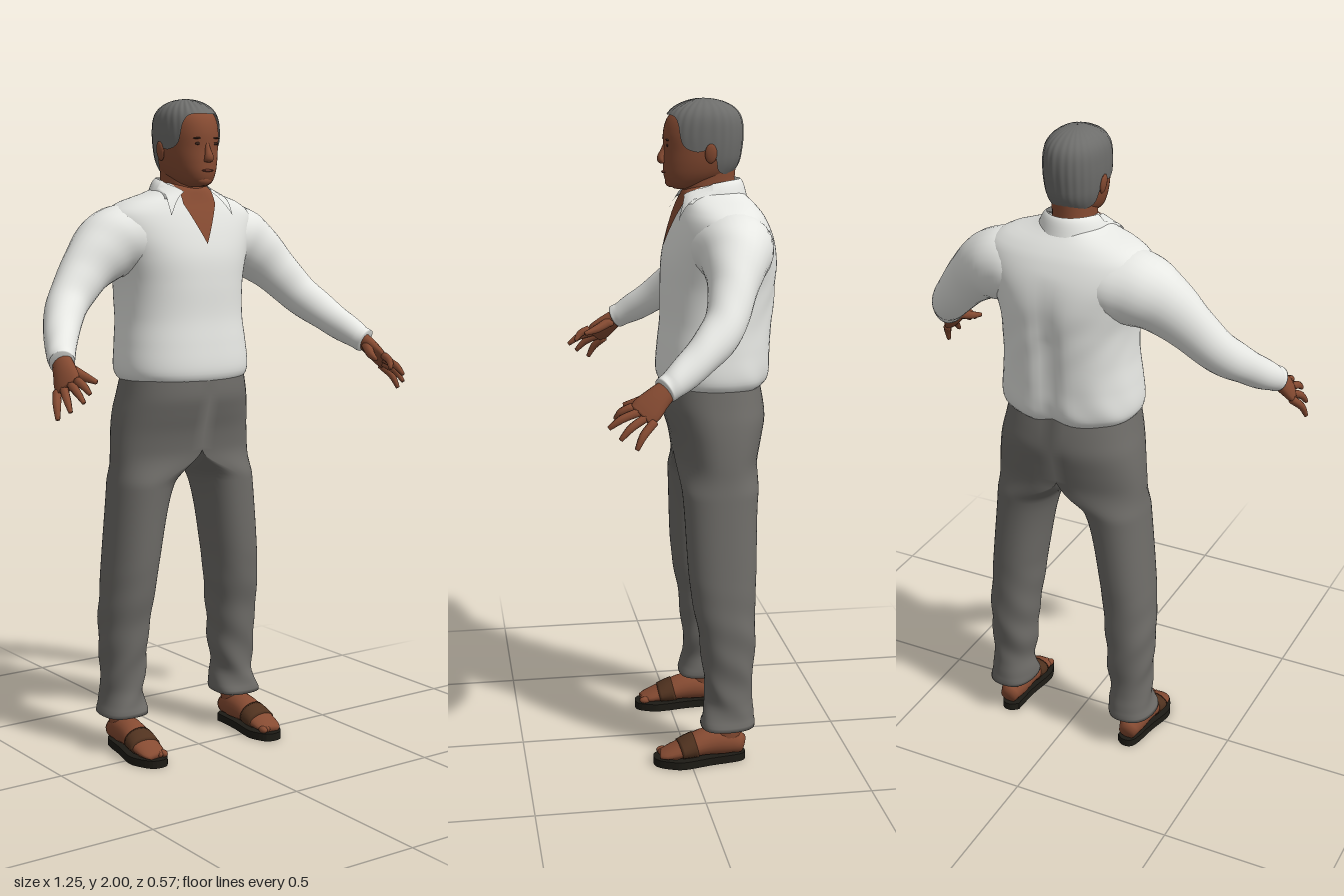
import * as THREE from 'three';
import { mergeVertices } from 'three/addons/utils/BufferGeometryUtils.js';

const V = (x, y, z) => new THREE.Vector3(x, y, z);
const { sin, cos, abs, sign, PI, pow, max, exp } = Math;

// Smooth surface from a rule giving a point for u, v in 0..1
function surface(fn, nu, nv) {
  const pos = [], idx = [];
  for (let j = 0; j <= nv; j++) for (let i = 0; i <= nu; i++) pos.push(...fn(i / nu, j / nv, j).toArray());
  for (let j = 0; j < nv; j++) for (let i = 0; i < nu; i++) {
    const a = j * (nu + 1) + i, b = a + nu + 1;
    idx.push(a, a + 1, b, a + 1, b + 1, b);
  }
  let g = new THREE.BufferGeometry();
  g.setAttribute('position', new THREE.Float32BufferAttribute(pos, 3));
  g.setIndex(idx);
  g = mergeVertices(g, 1e-5);
  g.computeVertexNormals();
  return g;
}

// Smooth interpolation of rows keyed by their first number
function lerpRows(rows, y) {
  const n = rows.length;
  let i = 0;
  while (i < n - 2 && y > rows[i + 1][0]) i++;
  const A = rows[i], B = rows[i + 1], P = rows[max(0, i - 1)], N = rows[Math.min(n - 1, i + 2)];
  const h = B[0] - A[0], t = THREE.MathUtils.clamp((y - A[0]) / h, 0, 1);
  return A.map((p, k) => {
    const m0 = (B[k] - P[k]) / (B[0] - P[0]) * h, m1 = (N[k] - p) / (N[0] - A[0]) * h;
    return (2 * t ** 3 - 3 * t * t + 1) * p + (t ** 3 - 2 * t * t + t) * m0 + (3 * t * t - 2 * t ** 3) * B[k] + (t ** 3 - t * t) * m1;
  });
}

// Body of horizontal superellipse sections: rows are [y, halfWidth, zFront, zBack, xCentre]
function body(rows, p = 2.2) {
  const at = (th, y) => {
    const [, a, f, b, cx = 0] = lerpRows(rows, y), s = sin(th), c = cos(th);
    return V(cx + max(a, 0) * sign(s) * pow(abs(s), 2 / p), y, (f + b) / 2 + (f - b) / 2 * sign(c) * pow(abs(c), 2 / p));
  };
  const front = (x, y) => {
    const [, a, f, b] = lerpRows(rows, y);
    return (f + b) / 2 + (f - b) / 2 * pow(max(0, 1 - pow(abs(x) / a, p)), 1 / p);
  };
  const y0 = rows[0][0], y1 = rows[rows.length - 1][0];
  const mesh = (nu, nv, bend = q => q) =>
    surface((u, v) => bend(at(u * 2 * PI, y0 + (y1 - y0) * v), u * 2 * PI), nu, nv);
  return { at, front, mesh };
}

// Closed limb along points [x, y, z, radiusAlongSide, radiusAcross]
function limb(pts, side, nu = 14, nv = 16, wrinkle = 0) {
  const curve = new THREE.CatmullRomCurve3(pts.map(p => V(...p)));
  const rows = pts.map((p, i) => [i / (pts.length - 1), p[3], p[4] ?? p[3]]);
  return surface((u, v, j) => {
    const t = THREE.MathUtils.clamp((j - 1) / (nv - 2), 0, 1);
    const T = curve.getTangent(t), n = side.clone().addScaledVector(T, -side.dot(T)).normalize();
    const b = T.clone().cross(n), [, ra, rb] = lerpRows(rows, t), f = u * 2 * PI;
    const k = j === 0 || j === nv ? 0 : 1 + wrinkle * t * sin(t * 42 + 2 * sin(f)) * sin(f + 5 * t);
    return curve.getPoint(t).addScaledVector(n, ra * k * cos(f)).addScaledVector(b, rb * k * sin(f));
  }, nu, nv);
}

function mirrored(g) {
  const m = g.clone().scale(-1, 1, 1), ix = m.index.array;
  for (let i = 0; i < ix.length; i += 3) [ix[i], ix[i + 1]] = [ix[i + 1], ix[i]];
  return m;
}

export function createModel() {
  const root = new THREE.Group();
  root.name = 'standingMan';
  const mat = (name, color, side = THREE.FrontSide) => {
    const m = new THREE.MeshStandardMaterial({ color, side });
    m.name = name;
    return m;
  };
  const shirt = mat('white shirt', 0xe7e8e4, THREE.DoubleSide), cloth = mat('grey trousers', 0x6e6c68, THREE.DoubleSide);
  const skin = mat('brown skin', 0x864b32), hair = mat('grey hair', 0x6d6d6b, THREE.DoubleSide);
  const leather = mat('dark leather', 0x50321f), rubber = mat('black sole', 0x1d1b15);
  const dark = mat('dark eye', 0x3a231a), lip = mat('lips', 0x6b382b);
  const add = (name, g, m) => {
    const o = new THREE.Mesh(g, m);
    o.name = name;
    root.add(o);
  };
  const pair = (name, g, m) => { add(name + 'Left', g, m); add(name + 'Right', mirrored(g), m); };
  const blob = (x, y, z, a, b, c, rz = 0) => new THREE.SphereGeometry(1, 14, 10).scale(a, b, c).rotateZ(rz).translate(x, y, z);

  // Shirt body with soft folds and a groove down the spine
  const torso = body([
    [1.15, 0.188, 0.05, -0.24], [1.168, 0.207, 0.064, -0.258], [1.2, 0.214, 0.069, -0.268], [1.27, 0.208, 0.064, -0.272],
    [1.35, 0.2, 0.056, -0.277], [1.45, 0.203, 0.055, -0.285], [1.53, 0.222, 0.05, -0.287], [1.6, 0.246, 0.033, -0.274],
    [1.66, 0.245, 0.012, -0.247], [1.695, 0.195, -0.003, -0.22], [1.715, 0.13, -0.01, -0.2], [1.735, 0.08, -0.018, -0.182],
    [1.75, 0.062, -0.035, -0.17]], 2.3);
  add('shirtBody', torso.mesh(72, 56, (p, th) => {
    const low = THREE.MathUtils.clamp((1.62 - p.y) * 5, 0, 1), back = max(0, -cos(th));
    const k = 1 + low * 0.009 * sin(9 * th + 5 * sin(p.y * 11)) * back;
    p.x *= k;
    p.z = -0.11 + (p.z + 0.11) * k + back * low * 0.016 * exp(-((p.x / 0.035) ** 2));
    return p;
  }), shirt);

  // Open neck
  add('openNeckSkin', surface((u, v) => {
    const y = 1.57 + 0.178 * v, x = (u * 2 - 1) * 0.058 * Math.min(1, v * 1.5);
    return V(x, y, torso.front(x, y) + 0.006);
  }, 14, 24), skin);
  add('neck', body([[1.66, 0.068, -0.015, -0.165], [1.72, 0.061, -0.012, -0.165], [1.76, 0.059, -0.01, -0.165],
    [1.82, 0.06, -0.01, -0.17]]).mesh(28, 10), skin);

  // Folded collar, open at the front
  add('collar', surface((u, v) => {
    const k = 1 - 2 * u, th = PI + k * 2.4, e = k ** 4, w = 1 - v;
    const r = 0.072 + 0.026 * w, x = r * sin(th) + 0.045 * w * e * sign(sin(th));
    const y = 1.766 - 0.042 * e - w * (0.05 + 0.02 * e) + 0.01 * sin(v * PI);
    let z = -0.1 + (0.082 + 0.02 * w) * cos(th);
    if (cos(th) > 0) z = max(z, torso.front(x, y) + 0.014);
    return V(x, y, z);
  }, 44, 6), shirt);

  // Sleeves, rising gently out of the shirt body at the shoulder
  pair('sleeve', limb([[0.07, 1.58, -0.125, 0.085, 0.118], [0.15, 1.582, -0.127, 0.102, 0.126], [0.22, 1.573, -0.126, 0.108, 0.113],
    [0.285, 1.54, -0.114, 0.094, 0.09], [0.36, 1.473, -0.091, 0.074, 0.067], [0.43, 1.397, -0.055, 0.062, 0.06],
    [0.492, 1.328, 0.02, 0.052], [0.54, 1.271, 0.1, 0.041], [0.553, 1.255, 0.128, 0.037]], V(1, 1, 0), 28, 52, 0.035), shirt);

  // Hands with four fingers and a thumb
  const spread = V(0.036, -0.04, -0.06);
  pair('palm', limb([[0.543, 1.272, 0.1, 0.027, 0.024], [0.558, 1.235, 0.148, 0.037, 0.022],
    [0.568, 1.208, 0.178, 0.044, 0.018], [0.574, 1.193, 0.196, 0.04, 0.013]], spread), skin);
  const tips = [[0.543, 1.18, 0.262], [0.576, 1.162, 0.283], [0.602, 1.135, 0.255], [0.618, 1.11, 0.213]];
  tips.forEach((t, i) => {
    const b = V(0.573, 1.197, 0.188).addScaledVector(spread, (i - 1.5) * 0.3);
    const m = b.clone().lerp(V(...t), 0.55).add(V(0.004, 0.006, 0.004));
    pair('finger' + (i + 1), limb([[...b.toArray(), 0.0125], [...m.toArray(), 0.0115], [...t, 0.0065]], spread, 8, 8), skin);
  });
  pair('thumb', limb([[0.545, 1.243, 0.145, 0.018], [0.522, 1.222, 0.19, 0.014], [0.506, 1.209, 0.234, 0.007]], spread, 8, 8), skin);

  // Trousers: each half is a leg section that opens into half of the seat section
  const seat = body([[0.86, 0.236, 0.014, -0.222], [0.93, 0.236, 0.018, -0.231], [1, 0.23, 0.03, -0.245], [1.06, 0.221, 0.048, -0.255],
    [1.11, 0.21, 0.06, -0.25], [1.18, 0.196, 0.058, -0.236]], 2.35);
  const leg = body([[0.105, 0.045, -0.07, -0.16, 0.215], [0.112, 0.071, -0.032, -0.2, 0.215], [0.15, 0.069, -0.038, -0.198, 0.213],
    [0.2, 0.064, -0.048, -0.19, 0.21], [0.3, 0.07, -0.04, -0.196, 0.206], [0.4, 0.075, -0.03, -0.201, 0.204], [0.5, 0.079, -0.012, -0.201, 0.196],
    [0.6, 0.081, 0, -0.206, 0.186], [0.8, 0.091, 0.01, -0.213, 0.157], [0.92, 0.113, 0.018, -0.228, 0.124]]);
  const half = surface((u, v) => {
    const th = u * 2 * PI, y = 0.105 + 1.075 * v, w = THREE.MathUtils.smoothstep(y, 0.84, 0.945);
    const p = leg.at(th, y), s = seat.at(th, y), low = THREE.MathUtils.clamp(0.6 - y, 0, 0.5);
    s.x = u < 0.5 ? max(0, s.x) : 0;
    p.x += 0.008 * low * sin(y * 52 + 2 * th);
    p.z += 0.008 * low * sin(y * 41 + 3 * th);
    p.lerp(s, w);
    if (cos(th) < 0) p.z += 0.012 * w * exp(-((p.x / 0.03) ** 2)) * max(0, 1.1 - y) * 7;
    return p;
  }, 48, 90);
  const hp = half.attributes.position;
  for (let i = 0; i < hp.count; i++)
    if (abs(hp.getX(i)) < 1e-4) half.attributes.normal.setXYZ(i, 0, 0, hp.getZ(i) > -0.1 ? 1 : -1);
  pair('trouser', half, cloth);

  // Feet and sandals
  pair('ankle', limb([[0.213, 0.17, -0.12, 0.04], [0.215, 0.1, -0.115, 0.039, 0.044], [0.217, 0.055, -0.105, 0.034, 0.042]], V(1, 0, 0)), skin);
  pair('foot', limb([[0.216, 0.048, -0.163, 0.027, 0.028], [0.216, 0.064, -0.115, 0.041, 0.044], [0.217, 0.064, -0.05, 0.044, 0.042],
    [0.22, 0.048, 0.02, 0.047, 0.028], [0.219, 0.036, 0.07, 0.042, 0.016], [0.215, 0.031, 0.092, 0.03, 0.01]], V(1, 0, 0), 20, 18), skin);
  for (let i = 0; i < 5; i++)
    pair('toe' + (i + 1), blob(0.19 + i * 0.0145, 0.033, 0.084 - i * i * 0.0022, i ? 0.009 : 0.012, 0.011, 0.018), skin);
  pair('sandalStrap', limb([[0.2185, 0.057, -0.015, 0.048, 0.039], [0.2195, 0.051, 0.01, 0.05, 0.034], [0.221, 0.045, 0.034, 0.05, 0.027]],
    V(1, 0, 0), 20, 8), leather);
  const outline = new THREE.Shape(new THREE.SplineCurve([[0.182, 0.155], [0.208, 0.172], [0.24, 0.155], [0.258, 0.06],
    [0.276, -0.02], [0.27, -0.06], [0.24, -0.108], [0.192, -0.108], [0.167, -0.06], [0.166, -0.02], [0.178, 0.06], [0.182, 0.155]]
    .map(p => new THREE.Vector2(p[0], p[1]))).getPoints(48));
  const sole = mergeVertices(new THREE.ExtrudeGeometry(outline, { depth: 0.024, bevelEnabled: false }).rotateX(-PI / 2));
  pair('sole', sole, rubber);

  // Head
  const head = body([[1.738, 0.022, 0.015, -0.03], [1.75, 0.045, 0.034, -0.08], [1.775, 0.063, 0.045, -0.14], [1.81, 0.075, 0.047, -0.17],
    [1.85, 0.081, 0.046, -0.18], [1.9, 0.083, 0.047, -0.184], [1.94, 0.079, 0.036, -0.178], [1.965, 0.066, 0.014, -0.16],
    [1.982, 0.044, -0.018, -0.13], [1.99, 0.02, -0.048, -0.096], [1.992, 0.001, -0.07, -0.072]]);
  add('head', head.mesh(44, 48), skin);

  // Cropped hair following the hairline, with fine combed ridges
  const hairline = [[0, 1.948], [0.6, 1.944], [0.85, 1.92], [1.0, 1.87], [1.35, 1.85], [1.7, 1.85], [1.95, 1.8], [2.4, 1.785], [3.15, 1.778]];
  add('hair', surface((u, v) => {
    const th = (u * 2 - 1) * PI, lo = lerpRows(hairline, abs(th))[1];
    const p = head.at(th, lo + (1.992 - lo) * sin(v * PI / 2)), c = V(0, 1.85, -0.07);
    return p.sub(c).multiplyScalar(1.054 + 0.014 * sin(th * 26) * sin(v * PI) * (1 - v)).add(c);
  }, 160, 28), hair);

  // Face
  add('nose', limb([[0, 1.872, 0.039, 0.006], [0, 1.848, 0.047, 0.009], [0, 1.824, 0.054, 0.015, 0.012], [0, 1.814, 0.047, 0.014, 0.006]],
    V(1, 0, 0), 14, 14), skin);
  const onFace = (x, y) => head.front(x, y);
  pair('eye', blob(0.031, 1.866, onFace(0.031, 1.866), 0.011, 0.004, 0.003), dark);
  pair('eyebrow', blob(0.032, 1.882, onFace(0.032, 1.882), 0.017, 0.0025, 0.004, -0.06), dark);
  add('mouth', blob(0, 1.787, onFace(0, 1.787), 0.021, 0.004, 0.006), lip);
  add('chin', blob(0, 1.758, 0.026, 0.026, 0.016, 0.016), skin);
  pair('ear', blob(0.085, 1.845, -0.08, 0.007, 0.029, 0.018, -0.15), skin);
  return root;
}
